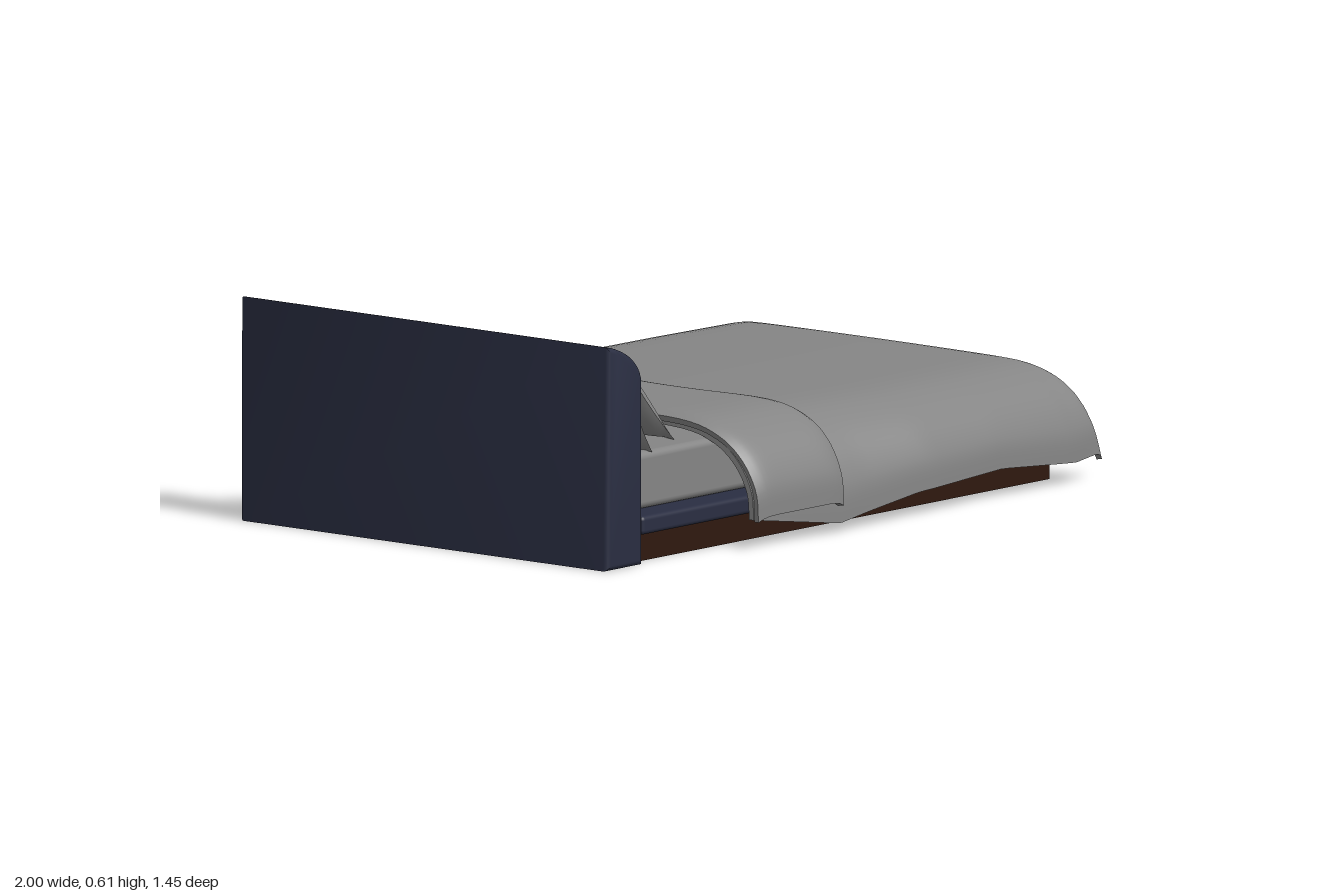
import * as THREE from 'three';
import { mergeGeometries, toCreasedNormals } from 'three/addons/utils/BufferGeometryUtils.js';
import { RoundedBoxGeometry } from 'three/addons/geometries/RoundedBoxGeometry.js';

const fabric = new THREE.MeshStandardMaterial({ color: 0x858585, side: THREE.DoubleSide });
const navy = new THREE.MeshStandardMaterial({ color: 0x2a2e42 });
const wood = new THREE.MeshStandardMaterial({ color: 0x2f180f });

// Piecewise linear lookup in a list of [key, value]
function lookup(table, k) {
  for (let i = 1; i < table.length; i++) {
    const [a, va] = table[i - 1], [b, vb] = table[i];
    if (k <= b) return THREE.MathUtils.lerp(va, vb, THREE.MathUtils.clamp((k - a) / (b - a), 0, 1));
  }
  return table[table.length - 1][1];
}

// Cloth of even thickness: point(u across z, v along x) gives the upper face
function cloth(point, nu, nv, thickness) {
  const pos = [], index = [], row = nu + 1, count = row * (nv + 1);
  for (let j = 0; j <= nv; j++)
    for (let i = 0; i <= nu; i++) pos.push(...point(i / nu * 2 - 1, j / nv));
  for (let j = 0; j < nv; j++)
    for (let i = 0; i < nu; i++) {
      const a = j * row + i, b = a + 1, c = a + row, d = c + 1;
      index.push(a, b, d, a, d, c);
    }
  const top = new THREE.BufferGeometry();
  top.setAttribute('position', new THREE.Float32BufferAttribute(pos, 3));
  top.setIndex(index);
  top.computeVertexNormals();
  const n = top.attributes.normal.array;
  const all = pos.concat(pos.map((p, i) => p - n[i] * thickness));
  const faces = index.slice();
  for (let i = 0; i < index.length; i += 3)
    faces.push(index[i] + count, index[i + 2] + count, index[i + 1] + count);
  // Rim joining the two faces
  const wall = (a, b) => faces.push(a, a + count, b, b, a + count, b + count);
  for (let i = 0; i < nu; i++) {
    wall(i, i + 1);
    wall(nv * row + i + 1, nv * row + i);
  }
  for (let j = 0; j < nv; j++) {
    wall((j + 1) * row, j * row);
    wall(j * row + nu, (j + 1) * row + nu);
  }
  const g = new THREE.BufferGeometry();
  g.setAttribute('position', new THREE.Float32BufferAttribute(all, 3));
  g.setIndex(faces);
  return toCreasedNormals(g, 0.9);
}

const curve = (pts) => new THREE.SplineCurve(pts.map(([x, y]) => new THREE.Vector2(x, y)));

// Half cross-section as (distance from the middle, drop), and foot as (x, drop)
const side = curve([[0, 0], [0.25, 0.002], [0.46, 0.01], [0.57, 0.045], [0.645, 0.11], [0.69, 0.2], [0.698, 0.29]]);
const foot = curve([[0.8, 0], [0.89, 0.01], [0.945, 0.045], [0.97, 0.12]]);
const hem = [[-0.48, 0.08], [-0.12, 0.025], [0.2, 0.07], [0.55, 0.085], [0.87, 0.058], [0.98, 0.07]];
const flare = [[-0.48, 1], [0, 1], [0.25, 1.02], [0.85, 0.985], [0.98, 0.965]];

function duvetPoint(u, v) {
  const t = Math.max(0, (v - 0.7) / 0.3);
  const f = foot.getPoint(t);
  const x = v < 0.7 ? THREE.MathUtils.lerp(-0.48, 0.8, v / 0.7) : f.x;
  const s = side.getPoint(Math.abs(u));
  const z = Math.sign(u) * s.x * lookup(flare, x);
  const sideDrop = Math.max(0, s.y) * (0.325 - lookup(hem, x)) / 0.29;
  const footDrop = v < 0.7 ? 0 : Math.max(0, f.y) * (1 + 0.52 * (z / 0.55) ** 2);
  const drop = Math.pow(sideDrop ** 5 + footDrop ** 5, 0.2);
  return [x + 0.025 * t * u ** 4, 0.325 - drop, z];
}

// Turned-back band whose edges settle onto the duvet
function foldPoint(u, v) {
  const s = side.getPoint(Math.abs(u));
  const edge = Math.pow(Math.abs(2 * v - 1), 8);
  const z = Math.sign(u) * s.x * (1.04 - 0.012 * edge);
  const back = -0.497 - 0.02 * Math.cos((z - 0.2) * 4.5);
  const front = -0.13 - 0.03 * Math.cos((z - 0.12) * 6.5) - 0.028 * z;
  const y = 0.354 - 0.014 * edge - Math.max(0, s.y) * (0.354 - (u > 0 ? 0.09 : 0.07)) / 0.29;
  return [THREE.MathUtils.lerp(back, front, v), y, z];
}

// Pillow with pinched corners, two puffed faces meeting at a seam
function pillowGeometry(width, height, depth) {
  const face = new THREE.PlaneGeometry(2, 2, 24, 18);
  const p = face.attributes.position;
  for (let i = 0; i < p.count; i++) {
    const u = p.getX(i), v = p.getY(i);
    const puff = Math.pow(Math.max(0, (1 - u * u) * (1 - v * v)), 0.48);
    p.setXYZ(i, u * (width / 2 - 0.016 * (1 - v * v)), v * height / 2 * (1 - 0.11 * (1 - u * u)), puff * depth / 2);
  }
  face.computeVertexNormals();
  return mergeGeometries([face, face.clone().rotateY(Math.PI)]);
}

export function createModel() {
  const group = new THREE.Group();
  const add = (name, geometry, material, x = 0, y = 0, z = 0) => {
    const m = new THREE.Mesh(geometry, material);
    m.name = name;
    m.position.set(x, y, z);
    group.add(m);
  };

  // Headboard: side profile with a rounded front top, swept across the width
  const b = 0.015;
  const profile = new THREE.Shape();
  profile.moveTo(-1 + b, b);
  profile.lineTo(-0.85 - b, b);
  profile.lineTo(-0.85 - b, 0.49);
  profile.bezierCurveTo(-0.865, 0.545, -0.93, 0.575, -1 + b, 0.605 - b);
  const board = new THREE.ExtrudeGeometry(profile, {
    depth: 1.28 - 2 * b, bevelSize: b, bevelThickness: b, bevelSegments: 4, curveSegments: 12,
  });
  add('headboard', toCreasedNormals(board, 0.6), navy, 0, 0, -0.655 + b);

  // Bed base and mattress
  add('plinth', new THREE.BoxGeometry(1.74, 0.08, 1.19), wood, 0.02, 0.04, -0.015);
  add('platform', new RoundedBoxGeometry(1.79, 0.05, 1.28, 3, 0.012), navy, 0.04, 0.105, -0.015);
  add('mattress', new RoundedBoxGeometry(1.75, 0.155, 1.13, 3, 0.02), fabric, 0.03, 0.2075, -0.015);

  // Bedding
  add('duvet', cloth(duvetPoint, 56, 50, 0.016), fabric);
  add('duvetFold', cloth(foldPoint, 56, 20, 0.018), fabric);

  // Pillows: name, width, height, depth, tilt, yaw, position
  [
    ['longBackPillow', 1.095, 0.255, 0.11, 0.38, 0, -0.775, 0.4, 0.005],
    ['frontPillowLeft', 0.5, 0.31, 0.11, 0.68, -0.07, -0.635, 0.405, 0.23],
    ['frontPillowRight', 0.46, 0.285, 0.11, 0.9, -0.07, -0.605, 0.375, -0.25],
  ].forEach(([name, w, h, d, tilt, yaw, x, y, z]) => {
    const g = pillowGeometry(w, h, d).rotateY(Math.PI / 2).rotateZ(tilt).rotateY(yaw);
    add(name, g, fabric, x, y, z);
  });

  return group;
}
